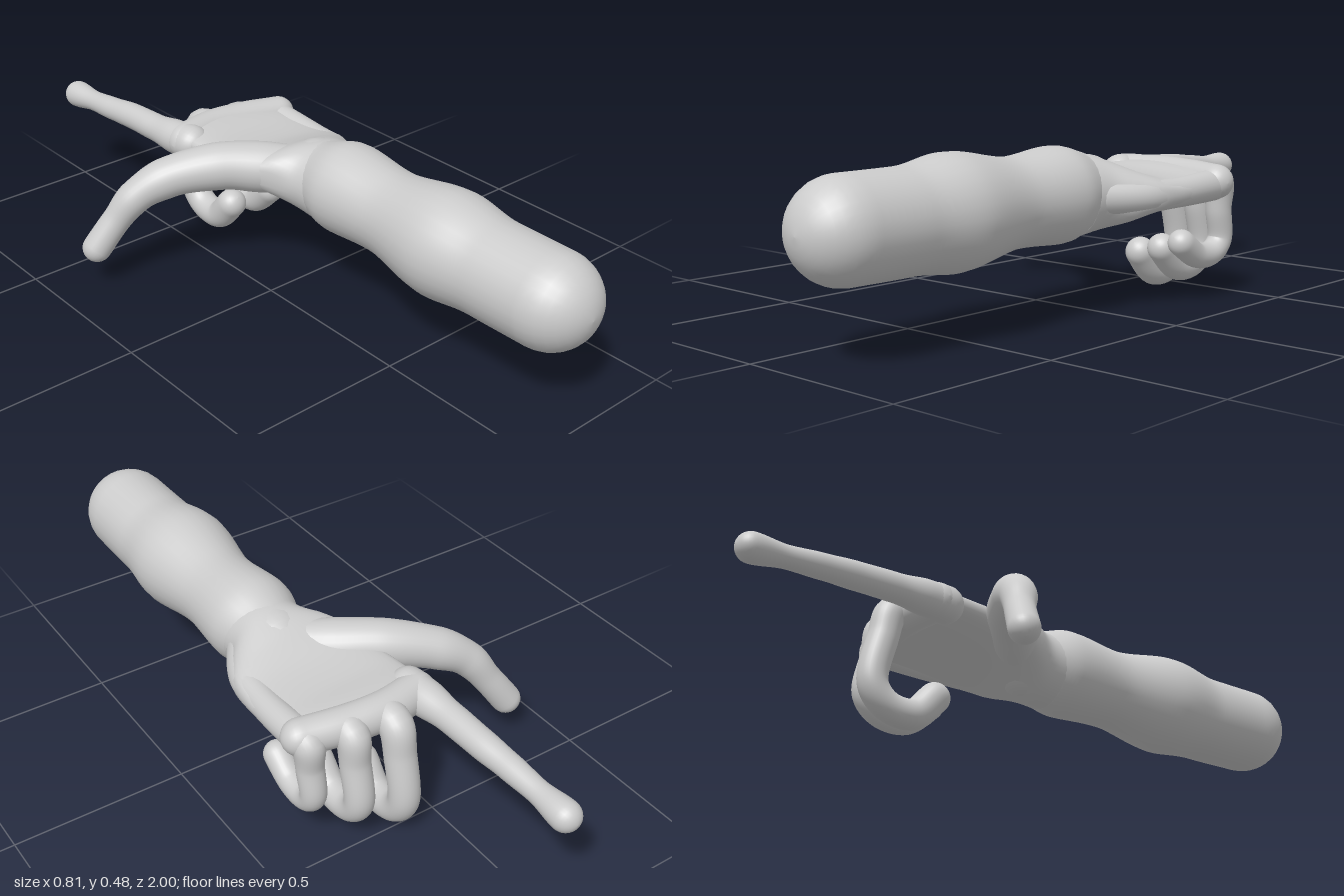
import * as THREE from 'three';

const material = new THREE.MeshStandardMaterial({ color: 0xcccccc });
const SIDES = 28;

// Skin a list of closed rings (equal point counts) with smooth normals
function loft(name, rings) {
  const n = rings[0].length, index = [];
  for (let i = 0; i < rings.length - 1; i++) {
    for (let j = 0; j < n; j++) {
      const a = i * n + j, b = i * n + (j + 1) % n;
      index.push(a, b, a + n, b, b + n, a + n);
    }
  }
  const geometry = new THREE.BufferGeometry().setFromPoints(rings.flat());
  geometry.setIndex(index);
  geometry.computeVertexNormals();
  const mesh = new THREE.Mesh(geometry, material);
  mesh.name = name;
  return mesh;
}

// Round limb through stations [x, y, z, radius], with hemispherical ends
function limb(name, stations, steps = 40) {
  const curve = new THREE.CatmullRomCurve3(stations.map(([x, y, z]) => new THREE.Vector3(x, y, z)));
  const { tangents, normals, binormals } = curve.computeFrenetFrames(steps);
  const last = stations.length - 1;
  const radiusAt = (u) => {
    const t = curve.getUtoTmapping(u) * last;
    const k = Math.min(Math.floor(t), last - 1);
    return THREE.MathUtils.lerp(stations[k][3], stations[k + 1][3], THREE.MathUtils.smoothstep(t - k, 0, 1));
  };
  const ring = (i, tilt) => {
    const r = radiusAt(i / steps);
    const centre = curve.getPointAt(i / steps).addScaledVector(tangents[i], r * Math.sin(tilt));
    return Array.from({ length: SIDES }, (_, j) => {
      const a = (j / SIDES) * Math.PI * 2;
      return centre.clone()
        .addScaledVector(normals[i], r * Math.cos(tilt) * Math.cos(a))
        .addScaledVector(binormals[i], r * Math.cos(tilt) * Math.sin(a));
    });
  };
  const rings = [];
  const CAP = 8;
  for (let k = CAP; k > 0; k--) rings.push(ring(0, -(k / CAP) * Math.PI / 2));
  for (let i = 0; i <= steps; i++) rings.push(ring(i, 0));
  for (let k = 1; k <= CAP; k++) rings.push(ring(steps, (k / CAP) * Math.PI / 2));
  return loft(name, rings);
}

// Flattened palm from sections [z, xMin, xMax, yMin, yMax, dip on the back]
function palm() {
  const sections = [
    [0.09, 0.06, 0.30, 0.205, 0.435, 0],
    [0.02, 0.055, 0.31, 0.215, 0.435, 0],
    [-0.04, 0.025, 0.345, 0.235, 0.42, 0],
    [-0.1, -0.005, 0.375, 0.255, 0.405, 0.01],
    [-0.18, -0.015, 0.385, 0.27, 0.39, 0.02],
    [-0.28, -0.025, 0.385, 0.28, 0.385, 0.02],
    [-0.36, -0.03, 0.385, 0.285, 0.385, 0.01],
    [-0.42, -0.03, 0.385, 0.29, 0.38, 0],
  ];
  const rows = sections.map(([z, x0, x1, y0, y1, dip]) => {
    const power = z < -0.02 ? 0.75 : 1;
    return Array.from({ length: 40 }, (_, j) => {
      const a = (j / 40) * Math.PI * 2, c = Math.cos(a), s = -Math.sin(a);
      const y = Math.sign(s) * Math.abs(s) ** power;
      const drop = s > 0 ? dip * s * s : 0;
      const slope = z < -0.02 ? -0.012 * c : 0;
      return new THREE.Vector3((x0 + x1) / 2 + (x1 - x0) / 2 * c, (y0 + y1) / 2 + (y1 - y0) / 2 * y - drop + slope, z);
    });
  });
  // Smooth the surface lengthwise
  const columns = rows[0].map((_, j) => new THREE.CatmullRomCurve3(rows.map((row) => row[j])).getPoints(35));
  const rings = columns[0].map((_, i) => columns.map((column) => column[i]));
  const close = (row, z) => row.map(() => new THREE.Vector3(0.18, 0.325, z));
  return loft('palm', [close(rings[0], 0.09), ...rings, close(rings[0], -0.42)]);
}

export function createModel() {
  const group = new THREE.Group();
  group.name = 'pointingHand';

  group.add(limb('forearm', [
    [0.18, 0.317, 0.866, 0.134], [0.18, 0.317, 0.68, 0.135], [0.178, 0.322, 0.52, 0.153],
    [0.18, 0.325, 0.3, 0.122], [0.18, 0.33, 0.13, 0.134], [0.18, 0.327, 0, 0.105],
  ], 60));

  group.add(palm());

  // Edge of the palm below the little finger
  group.add(limb('palmEdge', [
    [0.26, 0.32, 0.03, 0.05], [0.325, 0.318, -0.08, 0.045], [0.342, 0.318, -0.2, 0.042], [0.345, 0.325, -0.38, 0.045],
  ]));

  group.add(limb('knuckles', [
    [0, 0.338, -0.405, 0.054], [0.12, 0.34, -0.425, 0.053], [0.235, 0.338, -0.415, 0.052], [0.352, 0.335, -0.388, 0.05],
  ]));

  group.add(limb('indexFinger', [
    [0.005, 0.338, -0.38, 0.055], [-0.003, 0.337, -0.44, 0.052], [-0.01, 0.335, -0.54, 0.042],
    [-0.013, 0.332, -0.66, 0.04], [-0.02, 0.325, -0.76, 0.036], [-0.024, 0.318, -0.86, 0.032],
    [-0.027, 0.312, -0.958, 0.042],
  ], 50));

  group.add(limb('thumb', [
    [0.13, 0.335, -0.06, 0.07], [0.06, 0.34, -0.12, 0.075], [-0.03, 0.347, -0.185, 0.07],
    [-0.17, 0.323, -0.265, 0.06], [-0.255, 0.275, -0.305, 0.05], [-0.31, 0.2, -0.335, 0.042],
    [-0.365, 0.12, -0.358, 0.043],
  ], 50));

  // Curled fingers: x, then knuckle-to-tip path as [y, z, radius]
  const curled = {
    middleFinger: [0.12, [[0.338, -0.42, 0.05], [0.33, -0.48, 0.047], [0.25, -0.503, 0.044],
      [0.105, -0.525, 0.043], [0.052, -0.48, 0.043], [0.045, -0.4, 0.044], [0.11, -0.335, 0.045]]],
    ringFinger: [0.235, [[0.338, -0.41, 0.048], [0.33, -0.452, 0.046], [0.25, -0.466, 0.042],
      [0.125, -0.485, 0.041], [0.08, -0.44, 0.041], [0.078, -0.36, 0.042], [0.14, -0.288, 0.043]]],
    littleFinger: [0.345, [[0.335, -0.385, 0.046], [0.325, -0.412, 0.045], [0.25, -0.418, 0.038],
      [0.16, -0.428, 0.036], [0.126, -0.39, 0.036], [0.126, -0.32, 0.037], [0.17, -0.248, 0.039]]],
  };
  for (const [name, [x, path]] of Object.entries(curled)) {
    group.add(limb(name, path.map(([y, z, r], i) => [x - (name === 'littleFinger' ? i * 0.002 : 0), y, z, r]), 60));
  }
  return group;
}
